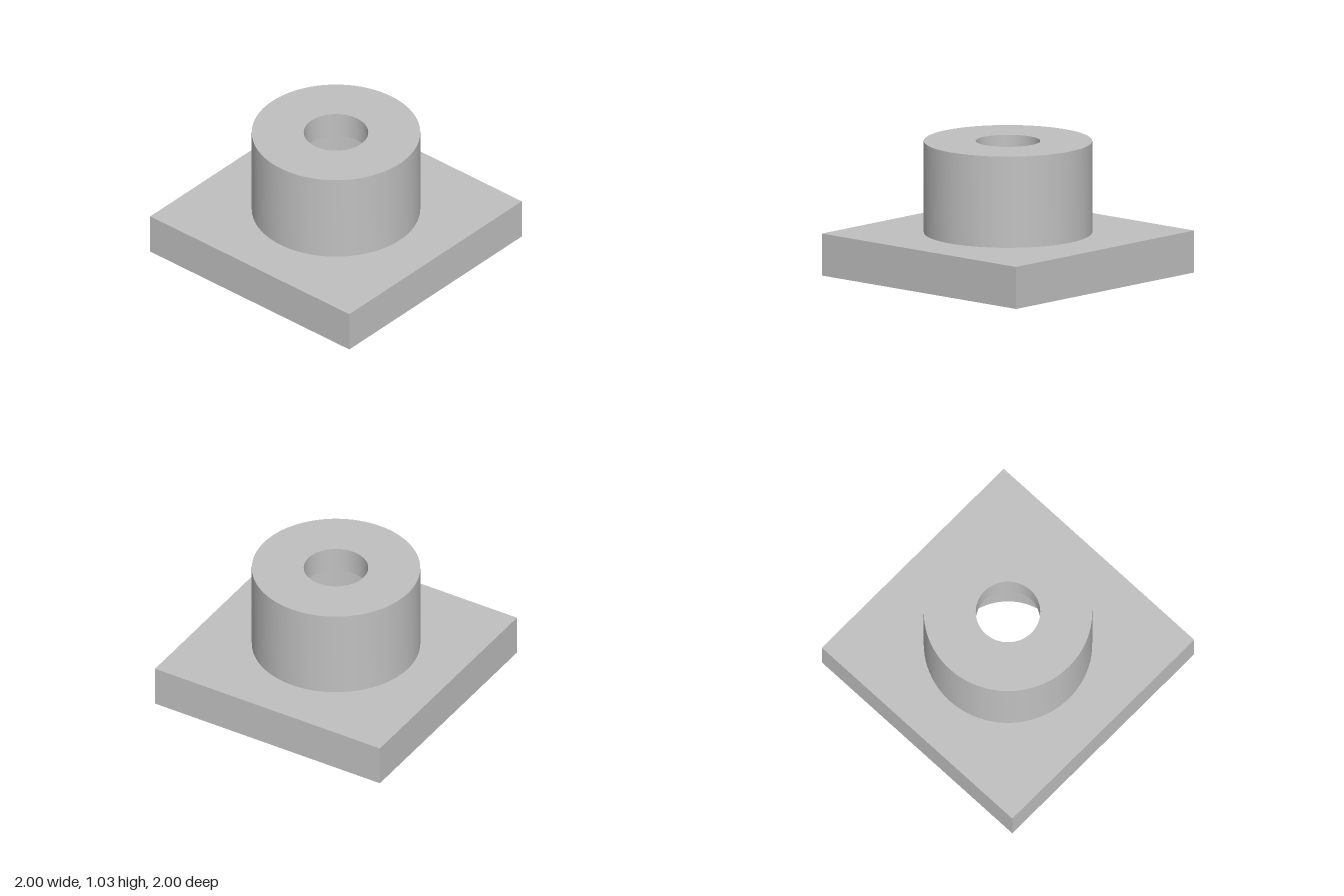
import * as THREE from 'three';
import { toCreasedNormals } from 'three/addons/utils/BufferGeometryUtils.js';

const PLATE_HEIGHT = 0.325;
const TOP = 1.03;
const BOSS_RADIUS = 0.64;
const HOLE_RADIUS = 0.245;
const BORE_RADIUS = 0.46;
const BORE_TOP = 0.83;

export function createModel() {
  const group = new THREE.Group();
  const grey = new THREE.MeshStandardMaterial({ color: 0xc0c0c0 });
  grey.name = 'plain grey';

  const add = (name, geometry) => {
    const mesh = new THREE.Mesh(toCreasedNormals(geometry, 0.5), grey);
    mesh.name = name;
    group.add(mesh);
  };

  // Square base plate, pierced by the wide lower bore
  const square = new THREE.Shape([[-1, -1], [1, -1], [1, 1], [-1, 1]].map(([x, y]) => new THREE.Vector2(x, y)));
  square.holes.push(new THREE.Path().absarc(0, 0, BORE_RADIUS, 0, Math.PI * 2, true));
  const plate = new THREE.ExtrudeGeometry(square, { depth: PLATE_HEIGHT, bevelEnabled: false, curveSegments: 48 });
  plate.rotateX(-Math.PI / 2);
  add('basePlate', plate);

  // Round boss: outer wall, top ring, narrow hole, step and wide bore
  const profile = [
    [BOSS_RADIUS, PLATE_HEIGHT],
    [BOSS_RADIUS, TOP],
    [HOLE_RADIUS, TOP],
    [HOLE_RADIUS, BORE_TOP],
    [BORE_RADIUS, BORE_TOP],
    [BORE_RADIUS, PLATE_HEIGHT],
  ].map(([r, y]) => new THREE.Vector2(r, y));
  add('boss', new THREE.LatheGeometry(profile, 96));

  return group;
}
